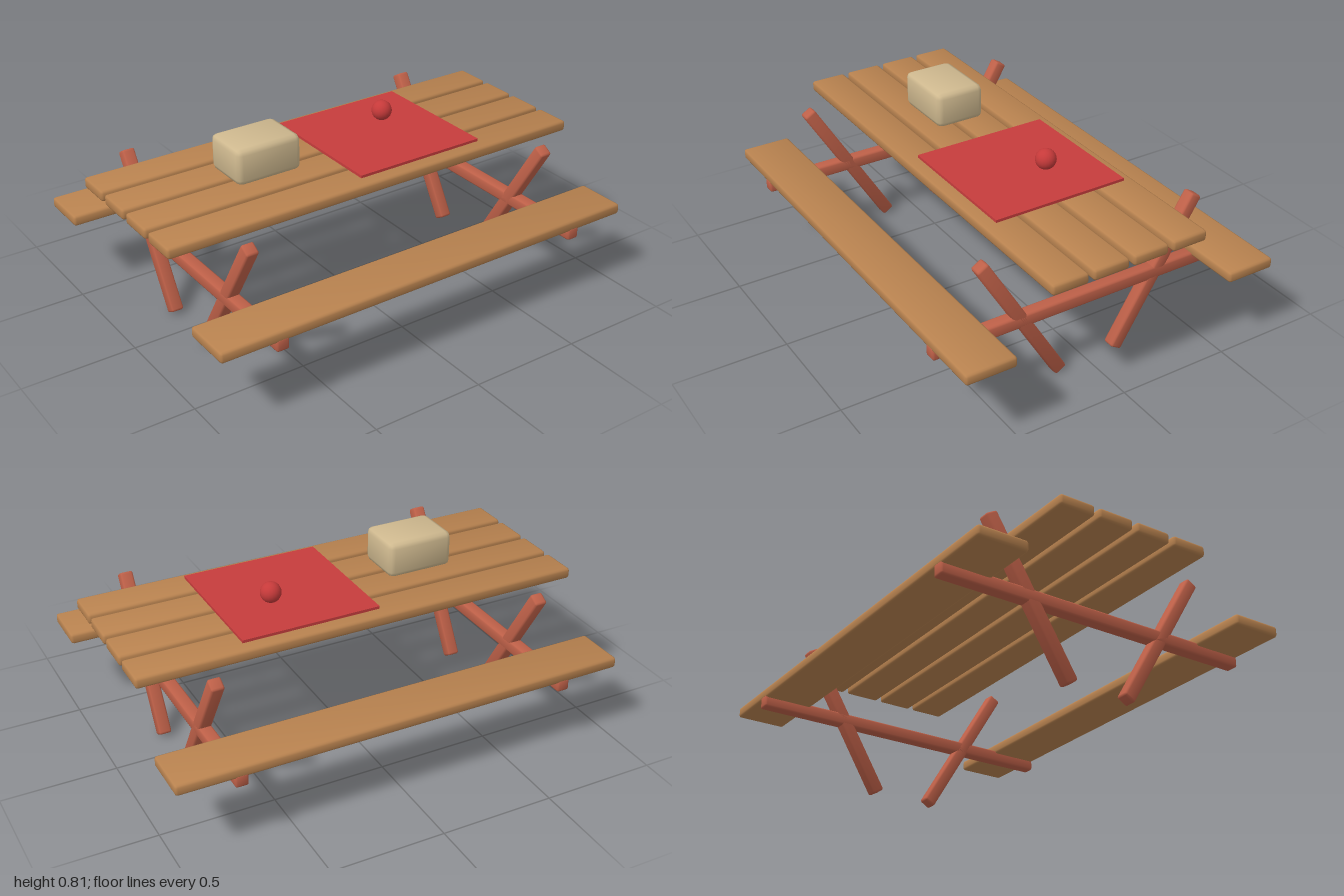
import * as THREE from 'three';
import { RoundedBoxGeometry } from 'three/addons/geometries/RoundedBoxGeometry.js';

const material = (name, color) => {
  const m = new THREE.MeshStandardMaterial({ color });
  m.name = name;
  return m;
};

// Bevelled box whose normals lean towards its corners, for softly shaded faces
function softBox(w, h, d, bevel) {
  const geometry = new RoundedBoxGeometry(w, h, d, 1, bevel);
  const p = geometry.attributes.position;
  const n = geometry.attributes.normal;
  const v = new THREE.Vector3();
  for (let i = 0; i < p.count; i++) {
    v.fromBufferAttribute(n, i);
    v.x += 0.25 * Math.sign(p.getX(i));
    v.y += 0.25 * Math.sign(p.getY(i));
    v.z += 0.25 * Math.sign(p.getZ(i));
    v.normalize();
    n.setXYZ(i, v.x, v.y, v.z);
  }
  return geometry;
}

export function createModel() {
  const wood = material('plank wood', 0xb8824f);
  const frame = material('red frame wood', 0xbe6048);
  const cloth = material('red cloth', 0xc63c3c);
  const fruit = material('red fruit', 0xc63a3a);
  const wicker = material('pale wicker', 0xcfb98f);

  const model = new THREE.Group();
  model.name = 'picnicTable';
  const add = (name, geometry, mat, x, y, z) => {
    const mesh = new THREE.Mesh(geometry, mat);
    mesh.name = name;
    mesh.position.set(x, y, z);
    model.add(mesh);
    return mesh;
  };

  // Table top of four planks
  const plank = softBox(2, 0.047, 0.162, 0.011);
  for (let i = 0; i < 4; i++) add('topPlank', plank, wood, 0, 0.617, (i - 1.5) * 0.185);

  // Benches at front and back
  const bench = softBox(2, 0.047, 0.222, 0.011);
  for (const s of [-1, 1]) add('benchSeat', bench, wood, 0, 0.361, s * 0.617);

  // Two end frames, each a crossbar and two splayed legs
  const bar = softBox(0.056, 0.056, 1.456, 0.009);
  const leg = softBox(0.056, 0.722, 0.056, 0.009);
  for (const x of [-0.733, 0.733]) {
    add('crossbar', bar, frame, x, 0.323, 0);
    for (const s of [-1, 1]) {
      add('leg', leg, frame, x, 0.321, s * 0.322).rotation.x = s * 0.541;
    }
  }

  // Cloth, fruit and basket on the table
  add('cloth', new THREE.BoxGeometry(0.615, 0.012, 0.615), cloth, 0.227, 0.654, 0);
  add('fruit', new THREE.SphereGeometry(0.045, 20, 14), fruit, 0.305, 0.71, -0.078);
  add('basket', softBox(0.3, 0.158, 0.224, 0.024), wicker, -0.39, 0.733, -0.002);

  return model;
}
